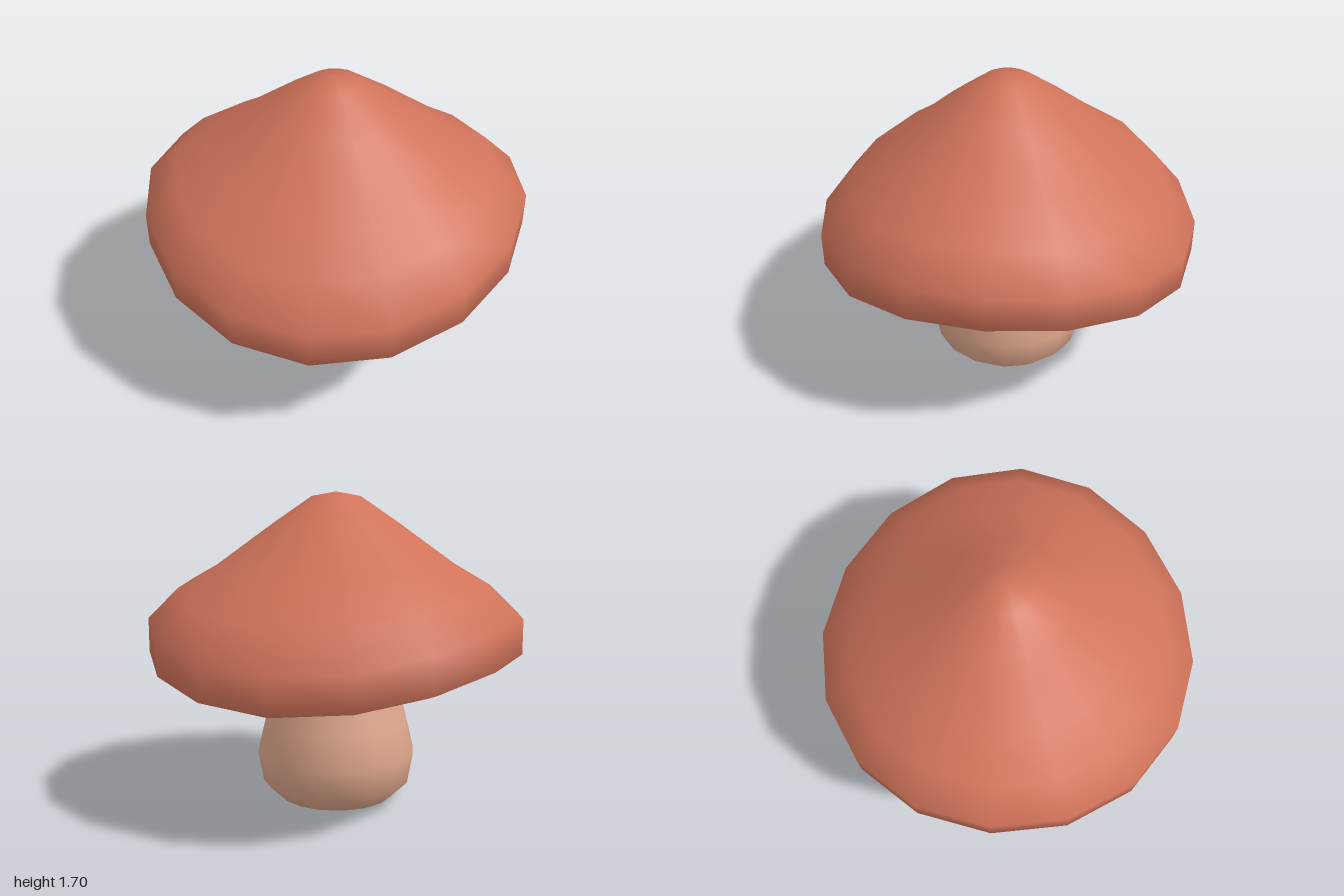
import * as THREE from 'three';
import { mergeVertices } from 'three/addons/utils/BufferGeometryUtils.js';

const SIDES = 16;
const PHASE = THREE.MathUtils.degToRad(2.2); // twist of the cap's sides
const HIGH = THREE.MathUtils.degToRad(25);   // direction in which the cap rim lifts

// Smooth lathe from [radius, height] pairs running bottom to top on the outside
function turn(profile, phase = 0, warp = 0) {
  const points = profile.map(([r, y]) => new THREE.Vector2(r, y));
  let geo = new THREE.LatheGeometry(points, SIDES, -phase);
  geo.deleteAttribute('uv');
  geo.deleteAttribute('normal');
  const p = geo.attributes.position;
  // Saddle bend that grows with the square of the radius
  for (let i = 0; i < p.count; i++) {
    const x = p.getX(i), z = p.getZ(i);
    const lift = warp * (x * x + z * z) * Math.cos(2 * (Math.atan2(z, x) - HIGH));
    p.setY(i, p.getY(i) + lift);
  }
  geo = mergeVertices(geo, 1e-4);
  geo.computeVertexNormals();
  return geo;
}

export function createModel() {
  const group = new THREE.Group();
  group.name = 'mushroom';
  const red = new THREE.MeshStandardMaterial({ color: 0xd0735a });
  red.name = 'cap red';
  const beige = new THREE.MeshStandardMaterial({ color: 0xdea68b });
  beige.name = 'stem beige';

  const add = (name, geometry, material) => {
    const mesh = new THREE.Mesh(geometry, material);
    mesh.name = name;
    group.add(mesh);
  };

  // Domed cap with a rolled rim
  add('cap', turn([
    [0.87, 0.765], [0.91, 0.763], [1, 0.795], [1, 0.975], [0.84, 1.15],
    [0.64, 1.285], [0.32, 1.535], [0.13, 1.67], [0, 1.695],
  ], PHASE, 0.085), red);

  // Hollow underside, facing down
  add('capUnderside', turn([
    [0, 0.93], [0.25, 0.91], [0.7, 0.84], [0.87, 0.765],
  ], PHASE, 0.085), beige);

  // Bulbous stem
  add('stem', turn([
    [0, 0], [0.165, 0.01], [0.305, 0.04], [0.4, 0.13], [0.43, 0.29],
    [0.39, 0.46], [0.33, 0.7], [0.27, 0.93],
  ]), beige);

  return group;
}
